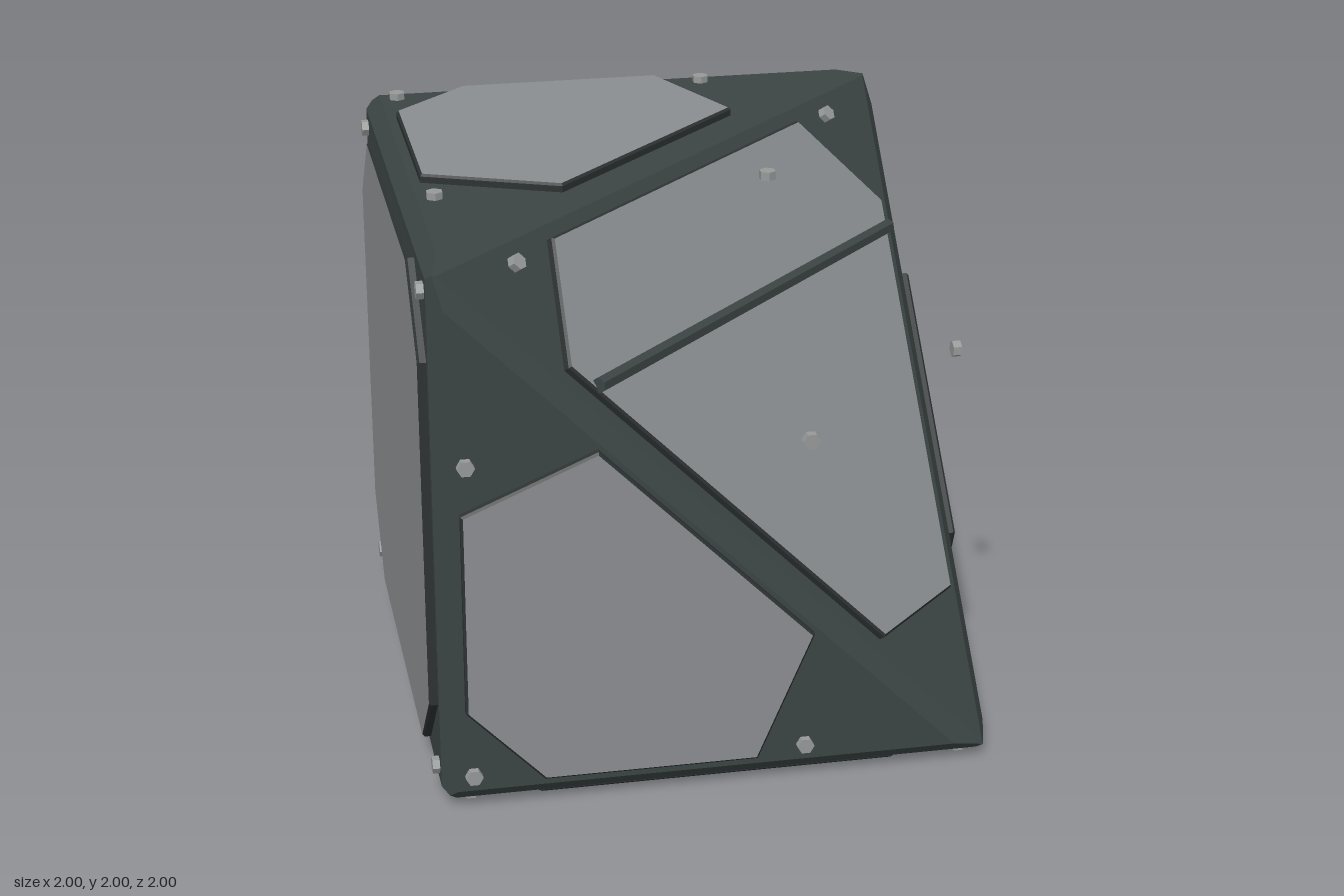
import * as THREE from 'three';
import { ConvexGeometry } from 'three/addons/geometries/ConvexGeometry.js';

const mat = (name, color) => {
  const m = new THREE.MeshStandardMaterial({ color });
  m.name = name;
  return m;
};
const V = (x, y, z) => new THREE.Vector3(x, y, z);

// Corner points of the solid bounded by planes [normal, distance]
function solidFromPlanes(planes) {
  const pts = [];
  for (let i = 0; i < planes.length; i++)
    for (let j = i + 1; j < planes.length; j++)
      for (let k = j + 1; k < planes.length; k++) {
        const [[a, da], [b, db], [c, dc]] = [planes[i], planes[j], planes[k]];
        const bc = b.clone().cross(c), det = a.dot(bc);
        if (Math.abs(det) < 1e-6) continue;
        const p = bc.multiplyScalar(da)
          .addScaledVector(c.clone().cross(a), db)
          .addScaledVector(a.clone().cross(b), dc)
          .divideScalar(det);
        if (planes.every(([n, d]) => n.dot(p) < d + 1e-6) && !pts.some(q => q.distanceTo(p) < 1e-4)) pts.push(p);
      }
  return new ConvexGeometry(pts);
}

function flat(geometry) {
  const g = geometry.toNonIndexed();
  g.computeVertexNormals();
  return g;
}

export function createModel() {
  const frameMat = mat('dark frame', 0x3c4444);
  const edgeMat = mat('panel edge', 0x2d3233);
  const panelMat = mat('grey panel', 0x8b8e91);
  const boltMat = mat('bolt metal', 0x979a9a);

  const model = new THREE.Group();
  model.name = 'cutCornerCube';
  const core = new THREE.Group();
  core.name = 'core';
  core.position.y = 1;
  model.add(core);

  const add = (parent, name, geometry, material) => {
    const m = new THREE.Mesh(geometry, material);
    m.name = name;
    parent.add(m);
    return m;
  };

  // Body: cube with one corner sliced off and every edge bevelled
  const H = 0.97, CUT = 0.935;
  const planes = [[V(1, 1, 1), CUT]];
  for (let a = 0; a < 3; a++) {
    const b = (a + 1) % 3;
    for (const s of [-1, 1]) {
      planes.push([V(0, 0, 0).setComponent(a, s), H]);
      for (const t of [-1, 1]) {
        if (s + t < 2) planes.push([V(0, 0, 0).setComponent(a, s).setComponent(b, t), 2 * H - 0.05]);
      }
    }
    planes.push([V(0.366, 0.366, 0.366).setComponent(a, 1), 0.935]);
  }
  add(core, 'body', solidFromPlanes(planes), frameMat);

  // A group whose local xy plane lies on a face, with local z pointing outwards
  const faceGroup = (name, u, v, n, dist) => {
    const g = new THREE.Group();
    g.name = name;
    g.quaternion.setFromRotationMatrix(new THREE.Matrix4().makeBasis(u, v, n));
    g.position.copy(n).multiplyScalar(dist);
    core.add(g);
    return g;
  };

  // Raised plate with a small bevelled dark rim
  const addPanel = (face, outline, height) => {
    const shape = new THREE.Shape(outline.map(p => new THREE.Vector2(p[0], p[1])));
    const g = new THREE.ExtrudeGeometry(shape, {
      depth: height, bevelEnabled: true, bevelThickness: 0.008, bevelSize: 0.008, bevelSegments: 1,
    });
    add(face, 'panel', g, [panelMat, edgeMat]);
  };

  const boltGeo = flat(new THREE.CylinderGeometry(0.03, 0.03, 0.03, 6).rotateY(Math.PI / 6).rotateX(Math.PI / 2));
  const addBolts = (face, spots, z) => {
    for (const [x, y] of spots) add(face, 'bolt', boltGeo, boltMat).position.set(x, y, z);
  };

  const X = V(1, 0, 0), Y = V(0, 1, 0), Z = V(0, 0, 1);

  // Three half faces next to the sliced corner
  const halfOutline = [[-0.88, -0.61], [-0.62, -0.88], [0.11, -0.88], [0.3, -0.43], [-0.43, 0.3], [-0.88, 0.11]];
  const halfBolts = [[-0.865, -0.86], [0.285, -0.86], [-0.865, 0.285], [0.285, 0.285]];
  for (const [name, u, v, n] of [['frontFace', X, Y, Z], ['leftFace', Y, Z, X], ['topFace', Z, X, Y]]) {
    const face = faceGroup(name, u, v, n, H);
    addPanel(face, halfOutline, 0.022);
    addBolts(face, halfBolts, 0.01);
  }

  // Three full square faces
  const a = 0.88, c = 0.62;
  const fullOutline = [[a, -c], [a, c], [c, a], [-c, a], [-a, c], [-a, -c], [-c, -a], [c, -a]];
  const fullBolts = [-1, 1].flatMap(s => [-1, 1].map(t => [0.865 * s, 0.865 * t]));
  for (const [name, u, v, n] of [['backFace', Y, X, Z], ['rightFace', Z, Y, X], ['bottomFace', X, Z, Y]]) {
    const face = faceGroup(name, u, v, n.clone().negate(), H);
    addPanel(face, fullOutline, 0.022);
    addBolts(face, fullBolts, 0.01);
  }

  // Sliced face: hexagonal panel, two bolts and a rail
  const U = V(1, 0, -1).normalize(), W = V(-1, 2, -1).normalize(), N = V(1, 1, 1).normalize();
  const slice = faceGroup('slicedFace', U, W, N, CUT / Math.sqrt(3));
  const toSlice = p => [V(...p).dot(U), V(...p).dot(W)];
  const p = 0.905, q = 0.58, r = -0.5;
  addPanel(slice, [[r, p, q], [r, q, p], [q, r, p], [p, r, q], [p, q, r], [q, p, r]].map(toSlice), 0.022);
  addBolts(slice, [[-0.64, 0.89, 0.73], [0.73, 0.89, -0.64]].map(toSlice), 0.014);
  const rail = add(slice, 'rail', flat(new THREE.CylinderGeometry(0.028, 0.028, 1.87, 6).rotateZ(Math.PI / 2)), frameMat);
  rail.position.set(0, toSlice([0.25, 0.51, 0.25])[1], 0.042);

  return model;
}
